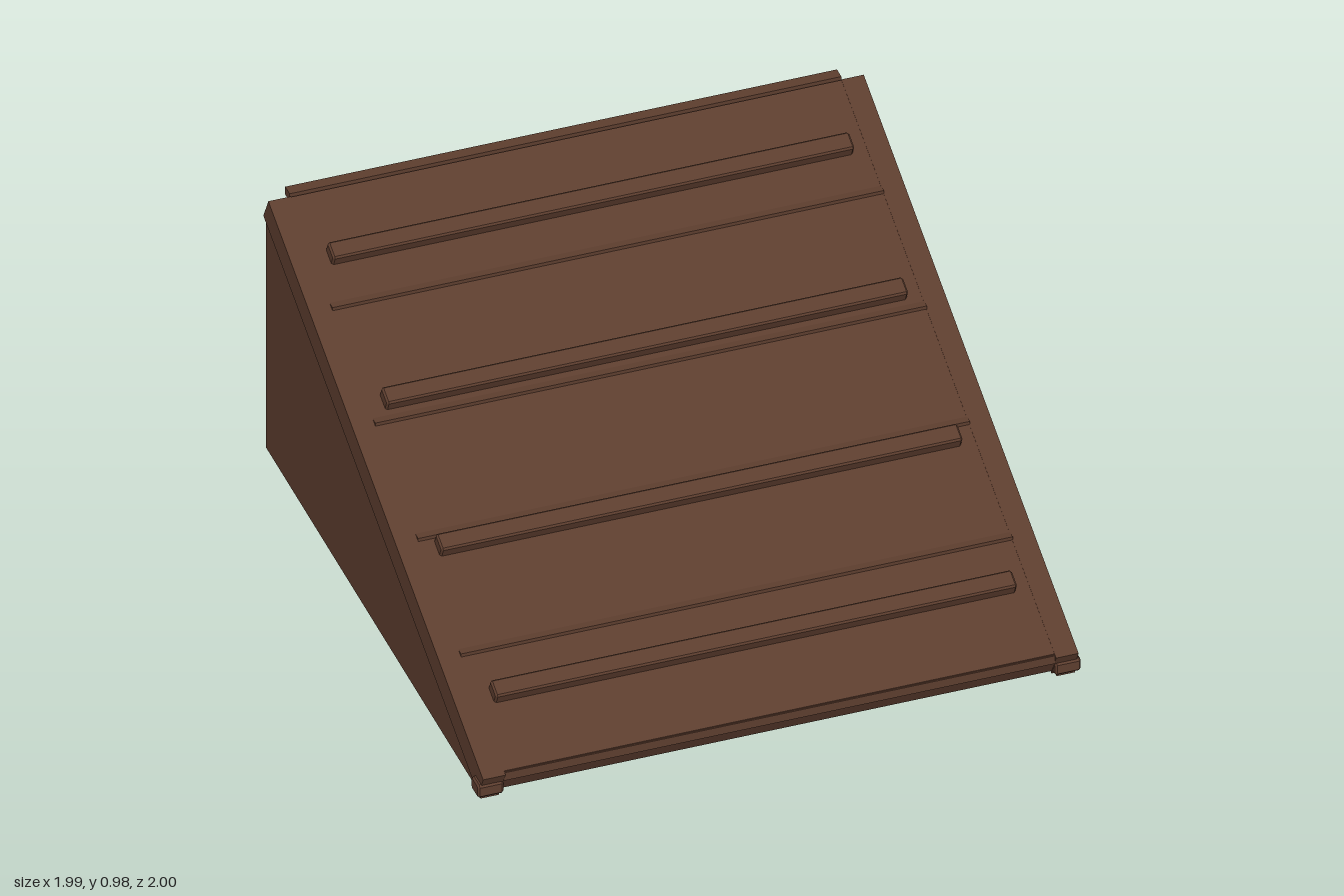
import * as THREE from 'three';

const RISE = 0.4527;
const ANGLE = Math.atan(RISE);
const slopeY = (z) => 0.09 + (1 - z) * RISE;

// Extrudes a [z, y] outline across x, centred on x = 0
function acrossX(points, width, bevel = 0) {
  const shape = new THREE.Shape(points.map(([z, y]) => new THREE.Vector2(z, y)));
  const depth = width - 2 * bevel;
  const geometry = new THREE.ExtrudeGeometry(shape, {
    depth, bevelEnabled: bevel > 0, bevelSize: bevel, bevelThickness: bevel,
    bevelOffset: -bevel, bevelSegments: 1,
  });
  return geometry.translate(0, 0, -depth / 2).rotateY(-Math.PI / 2);
}

// Outline of a box with cut corners
function cutBox(w, h, c) {
  const a = w / 2, b = h / 2;
  return [[-a + c, -b], [a - c, -b], [a, -b + c], [a, b - c],
    [a - c, b], [-a + c, b], [-a, b - c], [-a, -b + c]];
}

export function createModel() {
  const model = new THREE.Group();
  model.name = 'ramp';
  const wood = new THREE.MeshStandardMaterial({ color: 0x5c3d2e });
  wood.name = 'dark brown wood';

  const add = (name, geometry, x = 0, y = 0, z = 0, tilt = 0) => {
    const mesh = new THREE.Mesh(geometry, wood);
    mesh.name = name;
    mesh.position.set(x, y, z);
    mesh.rotation.x = tilt;
    model.add(mesh);
  };

  // Solid wedge with a small lip along the top of the back
  add('wedgeBody', acrossX([
    [0.96, 0.015], [0.985, 0.06], [0.985, slopeY(0.985)], [-0.954, slopeY(-0.954)],
    [-0.987, 0.905], [-0.98, 0.9], [-0.98, 0.015],
  ], 1.96));

  // Sloping side rails and the front feet
  const rail = acrossX([[0.957, 0.003], [1, 0.091], [-0.955, 0.976], [-1, 0.89]], 0.074);
  const foot = acrossX(cutBox(0.066, 0.048, 0.008), 0.085, 0.006);
  for (const side of [-1, 1]) {
    add(side > 0 ? 'leftRail' : 'rightRail', rail, side * 0.945);
    add(side > 0 ? 'leftFoot' : 'rightFoot', foot, side * 0.952, 0.037, 0.957);
  }
  // Low pads under the feet
  for (const side of [-1, 1]) {
    add('footPad', new THREE.BoxGeometry(0.06, 0.02, 0.03), side * 0.95, 0.01, 0.957);
  }

  // Thin level rungs whose front corners break the sloping surface
  const rung = new THREE.BoxGeometry(1.82, 0.03, 0.04);
  for (let i = 0; i < 6; i++) {
    const front = 0.99 - i * 0.39;
    const top = i === 0 ? 0.093 : slopeY(front) + (i === 5 ? 0.006 : 0.012);
    add('rung', rung, 0, top - 0.015, front - 0.02);
  }

  // Raised grip cleats lying on the slope
  const cleat = acrossX(cutBox(0.062, 0.05, 0.006), 1.72, 0.006);
  for (const z of [0.74, 0.245, -0.25, -0.74]) {
    add('gripCleat', cleat, 0, slopeY(z) + 0.014, z + 0.004, ANGLE);
  }
  return model;
}
